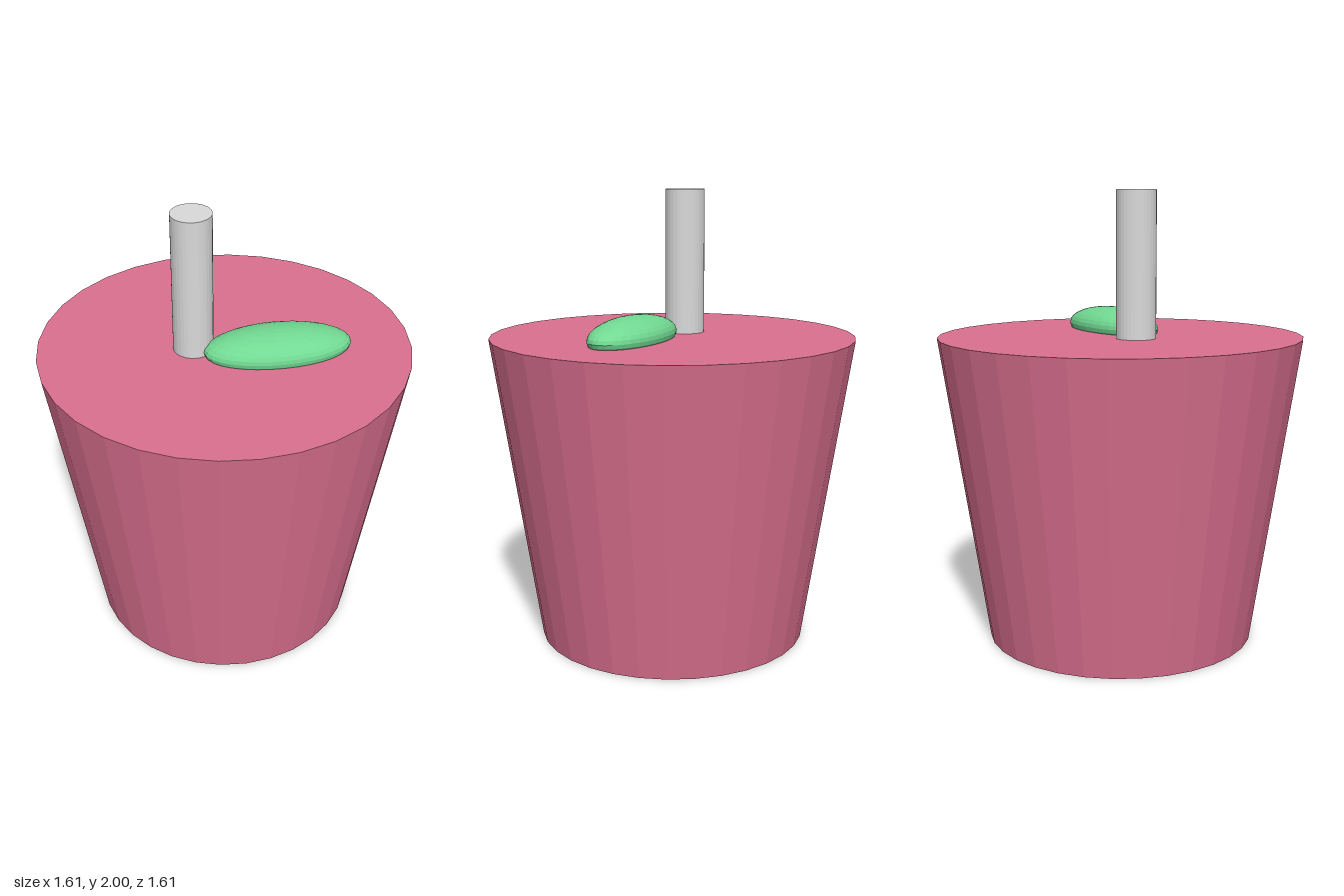
import * as THREE from 'three';

const paint = (name, color) => {
  const m = new THREE.MeshStandardMaterial({ color, flatShading: true });
  m.name = name;
  return m;
};

export function createModel() {
  const group = new THREE.Group();
  group.name = 'drink';

  const add = (name, geometry, material, x, y, z) => {
    const mesh = new THREE.Mesh(geometry, material);
    mesh.name = name;
    mesh.position.set(x, y, z);
    group.add(mesh);
    return mesh;
  };

  const cupHeight = 1.365;

  // Tapered cup, filled to the brim
  add('cup', new THREE.CylinderGeometry(0.807, 0.598, cupHeight, 32),
    paint('pink', 0xdb7090), 0, cupHeight / 2, 0);

  // Straw standing off-centre in the drink
  const strawBottom = 1.3;
  add('straw', new THREE.CylinderGeometry(0.087, 0.087, 2 - strawBottom, 32),
    paint('light grey', 0xdadada), -0.135, (2 + strawBottom) / 2, 0);

  // Flattened leaf resting on the surface
  const leaf = add('leaf', new THREE.SphereGeometry(1, 32, 16),
    paint('leaf green', 0x72d992), 0.217, 1.387, 0.086);
  leaf.scale.set(0.32, 0.085, 0.146);

  return group;
}
